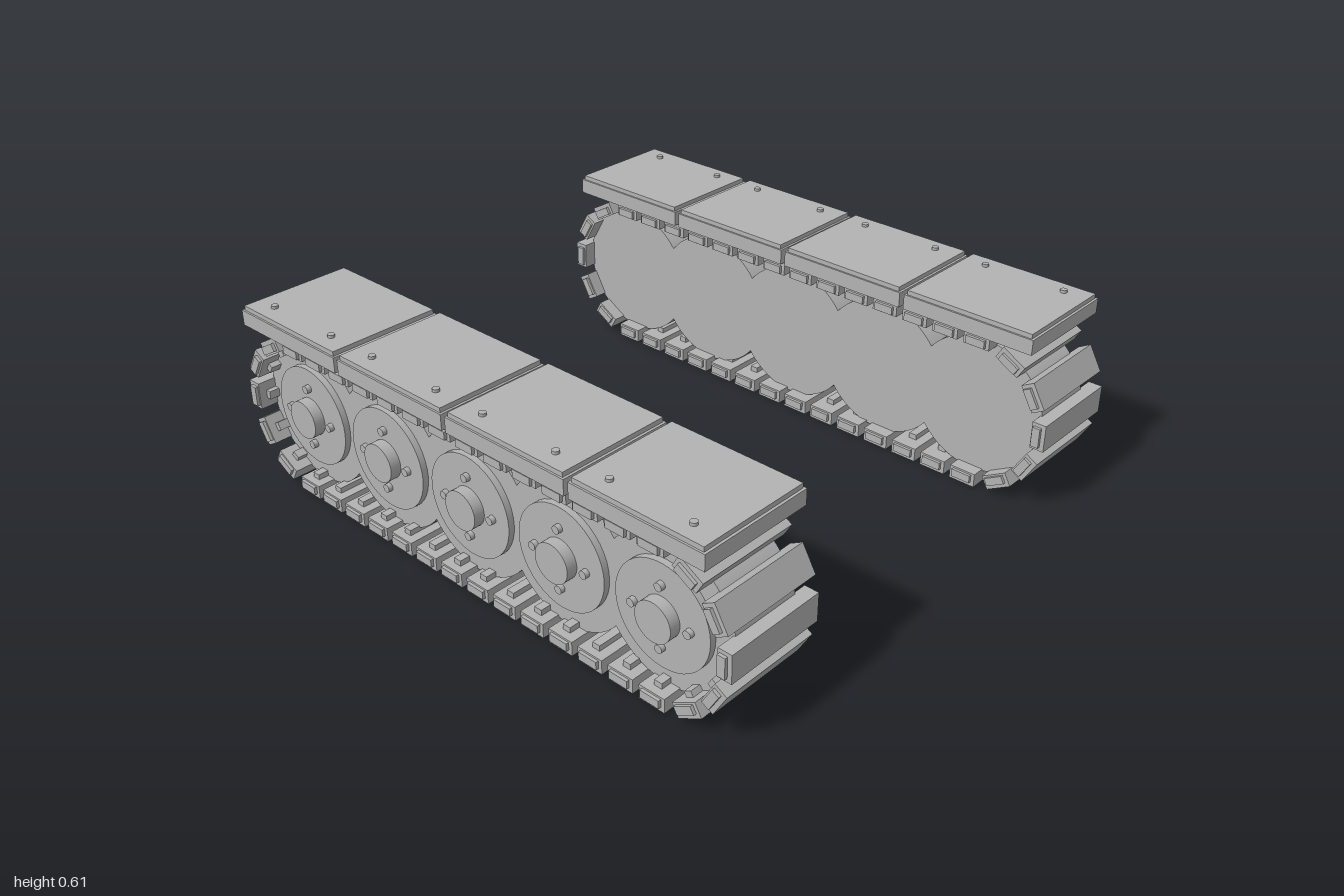
import * as THREE from 'three';

const AXLE_Y = 0.267, PITCH = 0.366, DISC_R = 0.23, PAD_R = 0.243;

// Five overlapping discs as one scalloped outline
function scallopShape() {
  const a = Math.acos(PITCH / 2 / DISC_R);
  const shape = new THREE.Shape();
  for (let i = 0; i < 5; i++)
    shape.absarc((i - 2) * PITCH, 0, DISC_R, i === 0 ? Math.PI : Math.PI + a, i === 4 ? 2 * Math.PI : 2 * Math.PI - a, false);
  for (let i = 4; i >= 0; i--)
    shape.absarc((i - 2) * PITCH, 0, DISC_R, i === 4 ? 0 : a, i === 0 ? Math.PI : Math.PI - a, false);
  return shape;
}

export function createModel() {
  const model = new THREE.Group();
  const steel = new THREE.MeshStandardMaterial({ color: 0xb3b3b3 });
  steel.name = 'grey';

  const add = (parent, name, geometry, x, y, z) => {
    const mesh = new THREE.Mesh(geometry, steel);
    mesh.name = name;
    mesh.position.set(x, y, z);
    parent.add(mesh);
    return mesh;
  };
  // Round part along x between two distances from the middle
  const disc = (parent, name, r, x0, x1, s, y, z) =>
    add(parent, name, new THREE.CylinderGeometry(r, r, x1 - x0, 40).rotateZ(Math.PI / 2), s * (x0 + x1) / 2, y, z);

  const wheelBodyGeo = new THREE.ExtrudeGeometry(scallopShape(), { depth: 0.23, bevelEnabled: false, curveSegments: 28 });
  wheelBodyGeo.translate(0, 0, -0.115).rotateY(Math.PI / 2);
  const padGeo = new THREE.BoxGeometry(0.335, 0.046, 0.09);
  const linkGeo = new THREE.BoxGeometry(0.355, 0.026, 0.066);
  const toothGeo = new THREE.BoxGeometry(0.26, 0.02, 0.027);
  const plateGeo = new THREE.BoxGeometry(0.38, 0.05, 0.455);
  const capGeo = new THREE.BoxGeometry(0.368, 0.016, 0.439);
  const boltGeo = new THREE.CylinderGeometry(0.011, 0.011, 0.012, 16);

  for (const s of [1, -1]) {
    const track = new THREE.Group();
    track.name = s > 0 ? 'leftTrack' : 'rightTrack';
    model.add(track);

    // Wheels, with their details on the outer side
    add(track, 'wheelBody', wheelBodyGeo, s * 0.71, AXLE_Y, 0);
    for (let i = -2; i <= 2; i++) {
      const z = i * PITCH;
      disc(track, 'wheelPlate', 0.163, 0.81, 0.845, s, AXLE_Y, z);
      disc(track, 'wheelHub', 0.062, 0.84, 0.88, s, AXLE_Y, z);
      for (let k = 0; k < 4; k++) {
        const t = k * Math.PI / 2;
        disc(track, 'wheelBolt', 0.013, 0.84, 0.86, s, AXLE_Y + 0.097 * Math.sin(t), z + 0.097 * Math.cos(t));
      }
    }

    // Track pads: angle 0 points up, positive leans to the front
    const pad = (z, angle) => {
      const link = new THREE.Group();
      link.name = 'trackPad';
      link.position.set(s * 0.7175, AXLE_Y + PAD_R * Math.cos(angle), z + PAD_R * Math.sin(angle));
      link.rotation.x = angle;
      add(link, 'padBlock', padGeo, 0, 0, 0);
      add(link, 'padConnector', linkGeo, 0, -0.004, 0);
      add(link, 'padTooth', toothGeo, s * 0.0125, -0.031, 0);
      track.add(link);
    };
    const end = 2 * PITCH;
    for (let i = 0; i < 14; i++) {
      const z = -end + i * 2 * end / 13;
      pad(z, 0);
      pad(z, Math.PI);
    }
    for (let k = 1; k <= 5; k++) {
      pad(end, k * Math.PI / 6);
      pad(-end, -k * Math.PI / 6);
    }

    // Armour plates above the track
    for (let i = 0; i < 4; i++) {
      const z = -0.004 + (i - 1.5) * 0.471;
      add(track, 'topPlate', plateGeo, s * 0.72, 0.56, z);
      add(track, 'topPlateCap', capGeo, s * 0.72, 0.592, z);
      for (const dz of [-0.14, 0.14]) add(track, 'plateBolt', boltGeo, s * 0.85, 0.603, z + dz);
    }
  }
  return model;
}
